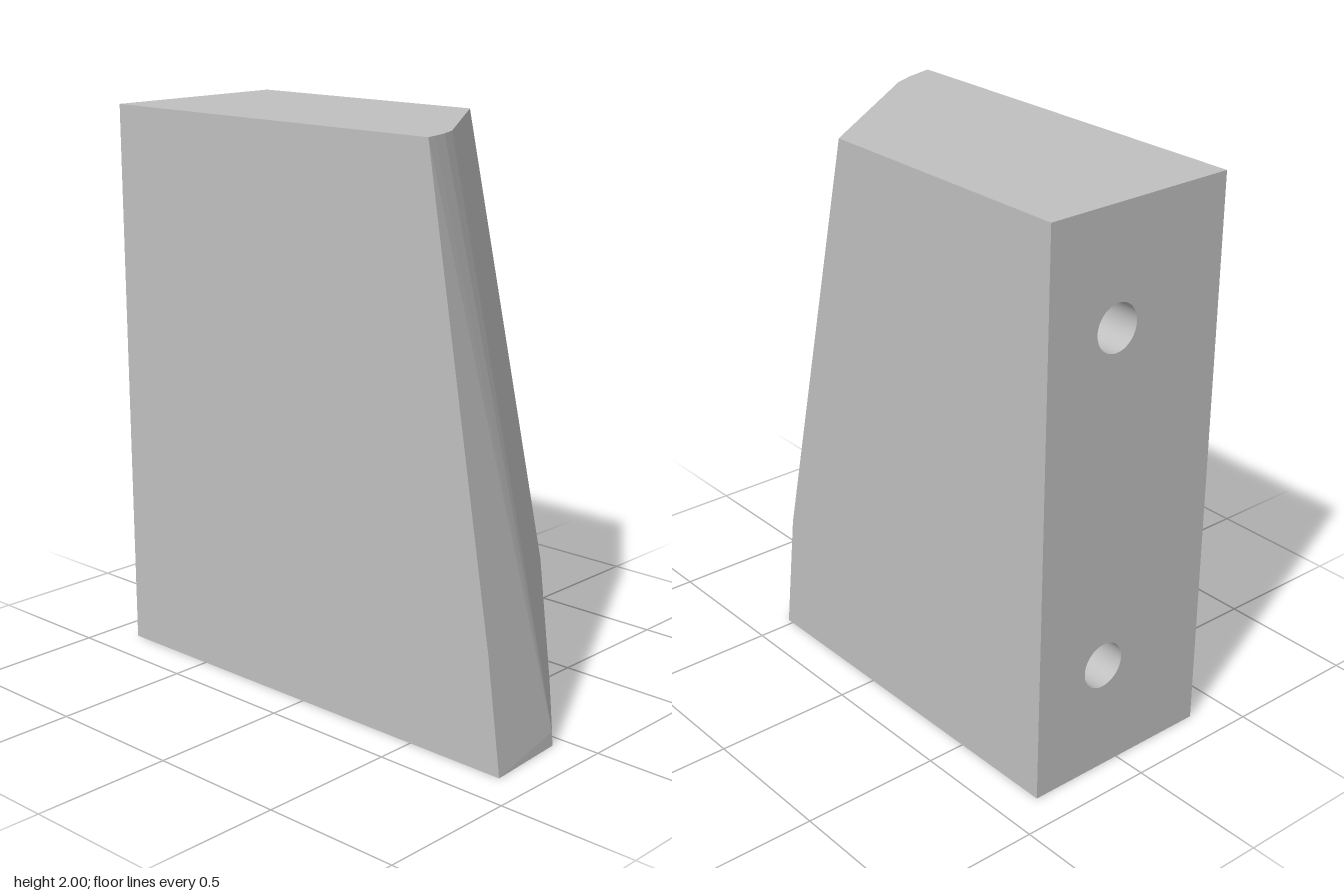
import * as THREE from 'three';

const LEFT = -0.88, BACK = -0.36, FRONT = 0.36, TOP = 2;
const HOLES = [0.4, 1.6].map(y => ({ y, z: -0.08, r: 0.082 }));

// x of the main slanted plane at a given height and depth
const slant = (y, z) => 0.12 + 0.704 * (z - BACK) + 0.226 * (TOP - y);
const onSlant = (y, z) => [slant(y, z), y, z];

// Flat convex polygons, corners counter-clockwise seen from outside
function polygons(list) {
  const pos = [];
  for (const p of list)
    for (let i = 1; i < p.length - 1; i++) pos.push(...p[0], ...p[i], ...p[i + 1]);
  const g = new THREE.BufferGeometry();
  g.setAttribute('position', new THREE.Float32BufferAttribute(pos, 3));
  g.computeVertexNormals();
  return g;
}

// Side face facing +x, pierced by the holes; xAt places it in depth
function piercedFace(outline, xAt) {
  const shape = new THREE.Shape(outline.map(([y, z]) => new THREE.Vector2(-z, y)));
  for (const h of HOLES) shape.holes.push(new THREE.Path().absarc(-h.z, h.y, h.r, 0, Math.PI * 2, true));
  const g = new THREE.ShapeGeometry(shape, 24);
  const p = g.attributes.position;
  for (let i = 0; i < p.count; i++) {
    const y = p.getY(i), z = -p.getX(i);
    p.setXYZ(i, xAt(y, z), y, z);
  }
  g.computeVertexNormals();
  return g;
}

// Inward-facing bore from the left face to the slanted plane
function bore({ y, z, r }) {
  const g = new THREE.CylinderGeometry(r, r, 2, 48, 1, true);
  g.rotateZ(-Math.PI / 2).scale(1, 1, -1).translate(0, y, z);
  const p = g.attributes.position;
  for (let i = 0; i < p.count; i++)
    p.setX(i, p.getX(i) > 0 ? slant(p.getY(i), p.getZ(i)) : LEFT);
  g.computeVertexNormals();
  return g;
}

export function createModel() {
  const grey = new THREE.MeshStandardMaterial({ color: 0xc0c0c0 });
  grey.name = 'grey';
  const model = new THREE.Group();
  model.name = 'taperedBlock';
  const add = (name, geometry) => {
    const mesh = new THREE.Mesh(geometry, grey);
    mesh.name = name;
    model.add(mesh);
  };

  // Corners of the faceted side
  const topBack = onSlant(TOP, BACK), topBend = onSlant(TOP, 0.18);
  const topArc = [topBend, [0.53, TOP, 0.25], [0.55, TOP, 0.32], [0.56, TOP, FRONT]];
  const frontBend = [0.826, 0.4, FRONT], bottomFront = [0.878, 0, FRONT];
  const hub = onSlant(0.05, 0.055), bottomBend = [0.856, 0, 0.055];
  const backBend = onSlant(0.45, BACK), bottomBack = [0.525, 0, BACK];
  const left = (y, z) => [LEFT, y, z];

  add('outerFaces', polygons([
    [left(0, FRONT), bottomFront, frontBend, topArc[3], left(TOP, FRONT)],
    [bottomBack, left(0, BACK), left(TOP, BACK), topBack, backBend],
    [left(TOP, BACK), left(TOP, FRONT), ...[...topArc].reverse(), topBack],
    [left(0, FRONT), left(0, BACK), bottomBack, bottomBend, bottomFront],
  ]));

  // Facets fanning from the hub near the lower bend
  const rim = [bottomBend, bottomFront, frontBend, ...[...topArc].reverse()];
  const facets = rim.slice(1).map((p, i) => [hub, p, rim[i]].reverse());
  facets.forEach((f, i) => { facets[i] = [hub, rim[i + 1], rim[i]]; });
  facets.push([hub, bottomBend, bottomBack], [hub, bottomBack, backBend]);
  add('sideFacets', polygons(facets));

  add('slantedFace', piercedFace(
    [[0.05, 0.055], [0.45, BACK], [TOP, BACK], [TOP, 0.18]], slant));

  // Left face is turned around to look along -x
  const flat = piercedFace([[0, FRONT], [0, BACK], [TOP, BACK], [TOP, FRONT]], () => LEFT);
  flat.index.array.reverse();
  flat.computeVertexNormals();
  add('leftFace', flat);

  HOLES.forEach((h, i) => add(i ? 'upperBore' : 'lowerBore', bore(h)));
  return model;
}
